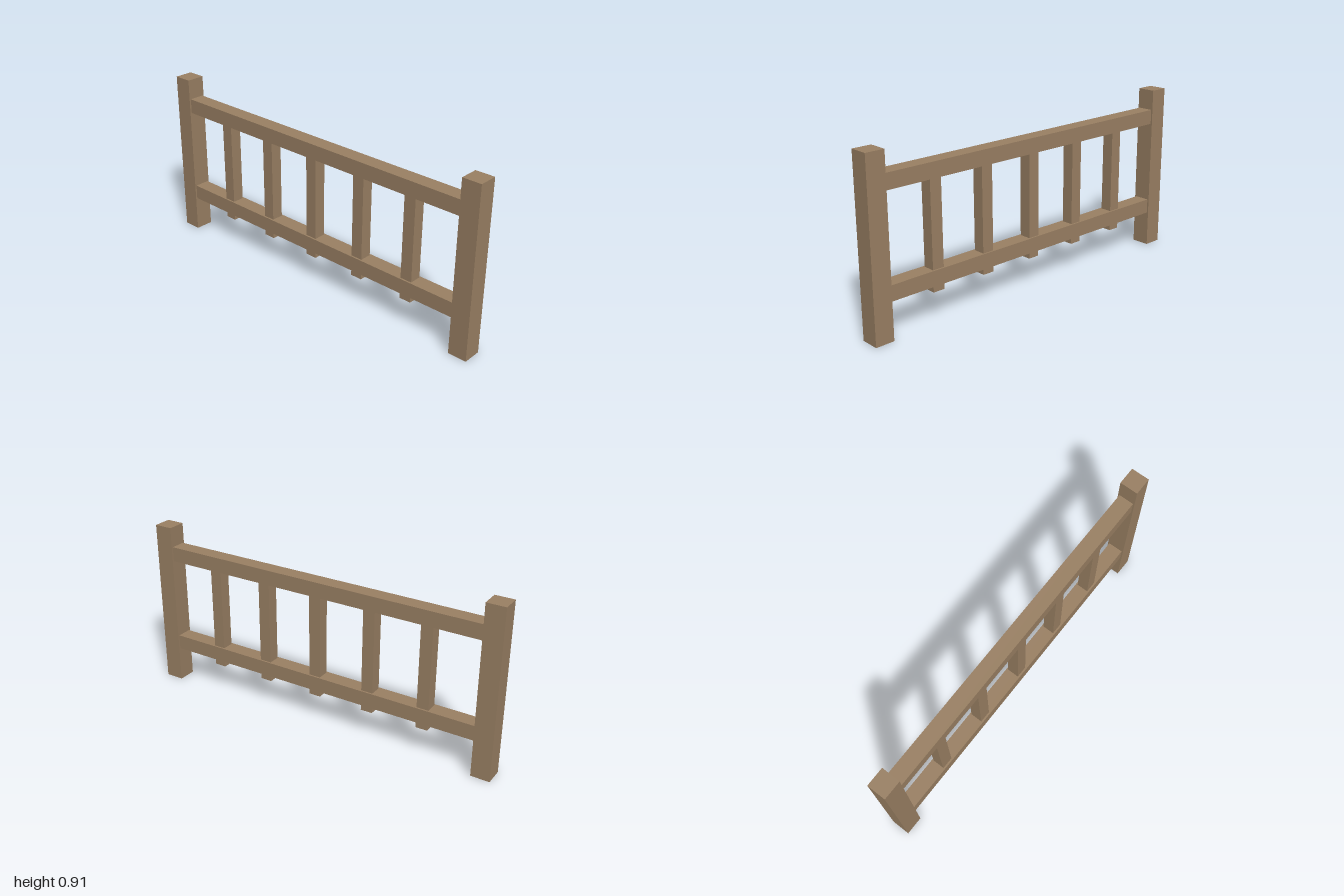
import * as THREE from 'three';

export function createModel() {
  const model = new THREE.Group();
  model.name = 'railing';
  const wood = new THREE.MeshStandardMaterial({ color: 0x9b8164 });
  wood.name = 'brown wood';

  // Square-cut timber spanning x0..x1 and y0..y1, centred in depth
  function timber(name, x0, x1, y0, y1, depth) {
    const mesh = new THREE.Mesh(new THREE.BoxGeometry(x1 - x0, y1 - y0, depth), wood);
    mesh.name = name;
    mesh.position.set((x0 + x1) / 2, (y0 + y1) / 2, 0);
    model.add(mesh);
  }

  // End posts
  timber('rightPost', -1, -0.9, 0, 0.91, 0.1);
  timber('leftPost', 0.9, 1, 0, 0.91, 0.1);

  // Horizontal rails between the posts
  timber('topRail', -0.9, 0.9, 0.72, 0.8, 0.083);
  timber('bottomRail', -0.9, 0.9, 0.193, 0.273, 0.083);

  // Balusters run through the bottom rail and stick out below it
  for (let i = -2; i <= 2; i++) {
    const x = i * 0.31;
    timber(`baluster${i + 3}`, x - 0.032, x + 0.032, 0.16, 0.75, 0.064);
  }
  return model;
}
